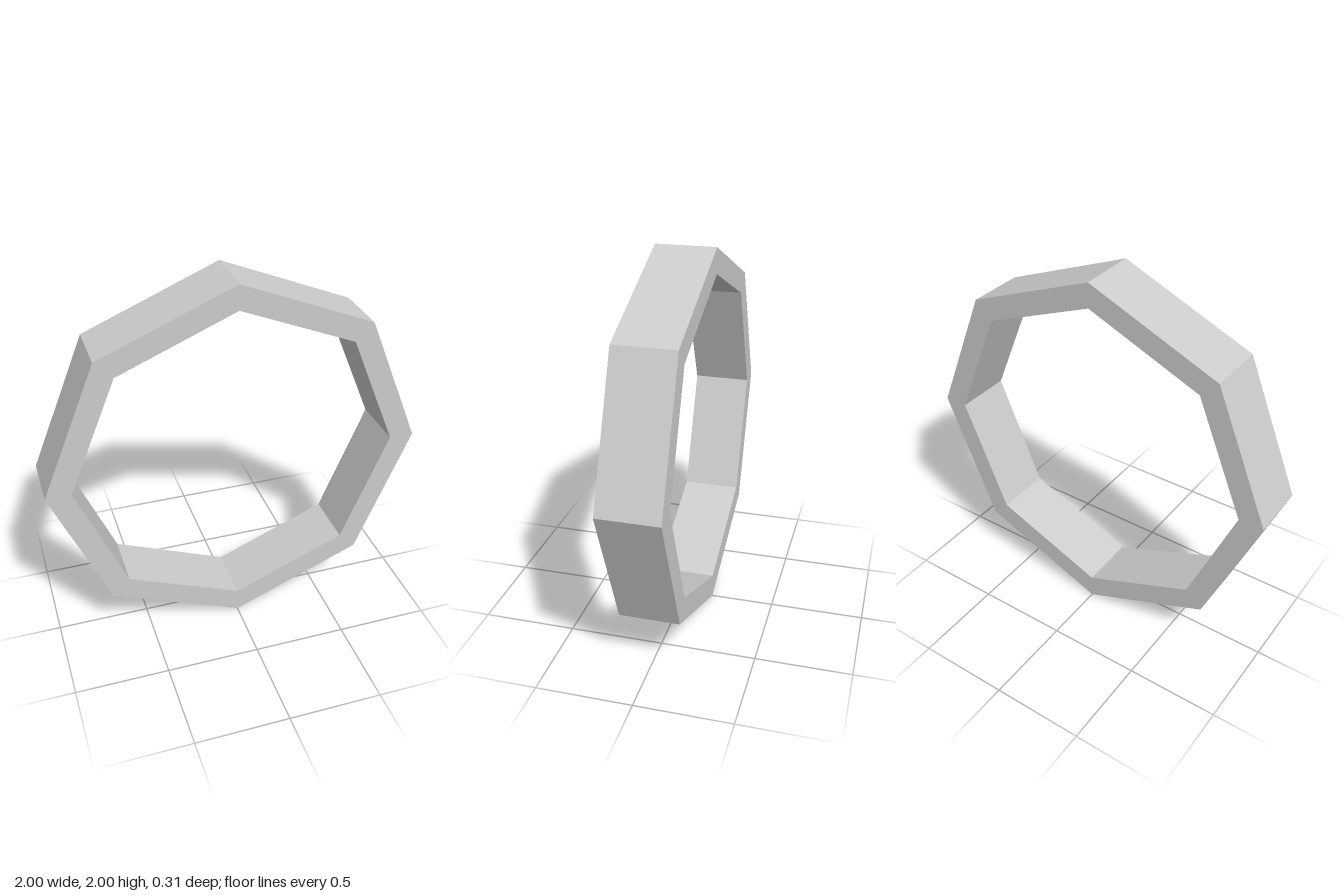
import * as THREE from 'three';

const SIDES = 8, OUTER = 1, INNER = 0.867, DEPTH = 0.314;

// Corners of a regular octagon with one corner pointing straight up
function octagon(radius) {
  return Array.from({ length: SIDES }, (_, i) => {
    const a = (i / SIDES) * Math.PI * 2;
    return new THREE.Vector2(Math.cos(a) * radius, Math.sin(a) * radius);
  });
}

export function createModel() {
  const group = new THREE.Group();
  group.name = 'octagonalRing';

  // Flat-sided ring: octagon with an octagonal hole, extruded along z
  const shape = new THREE.Shape(octagon(OUTER));
  shape.holes.push(new THREE.Path(octagon(INNER)));
  const geometry = new THREE.ExtrudeGeometry(shape, { depth: DEPTH, bevelEnabled: false });
  geometry.translate(0, OUTER, -DEPTH / 2);

  const material = new THREE.MeshStandardMaterial({ color: 0xcccccc, flatShading: true });
  const ring = new THREE.Mesh(geometry, material);
  ring.name = 'ring';
  group.add(ring);
  return group;
}
